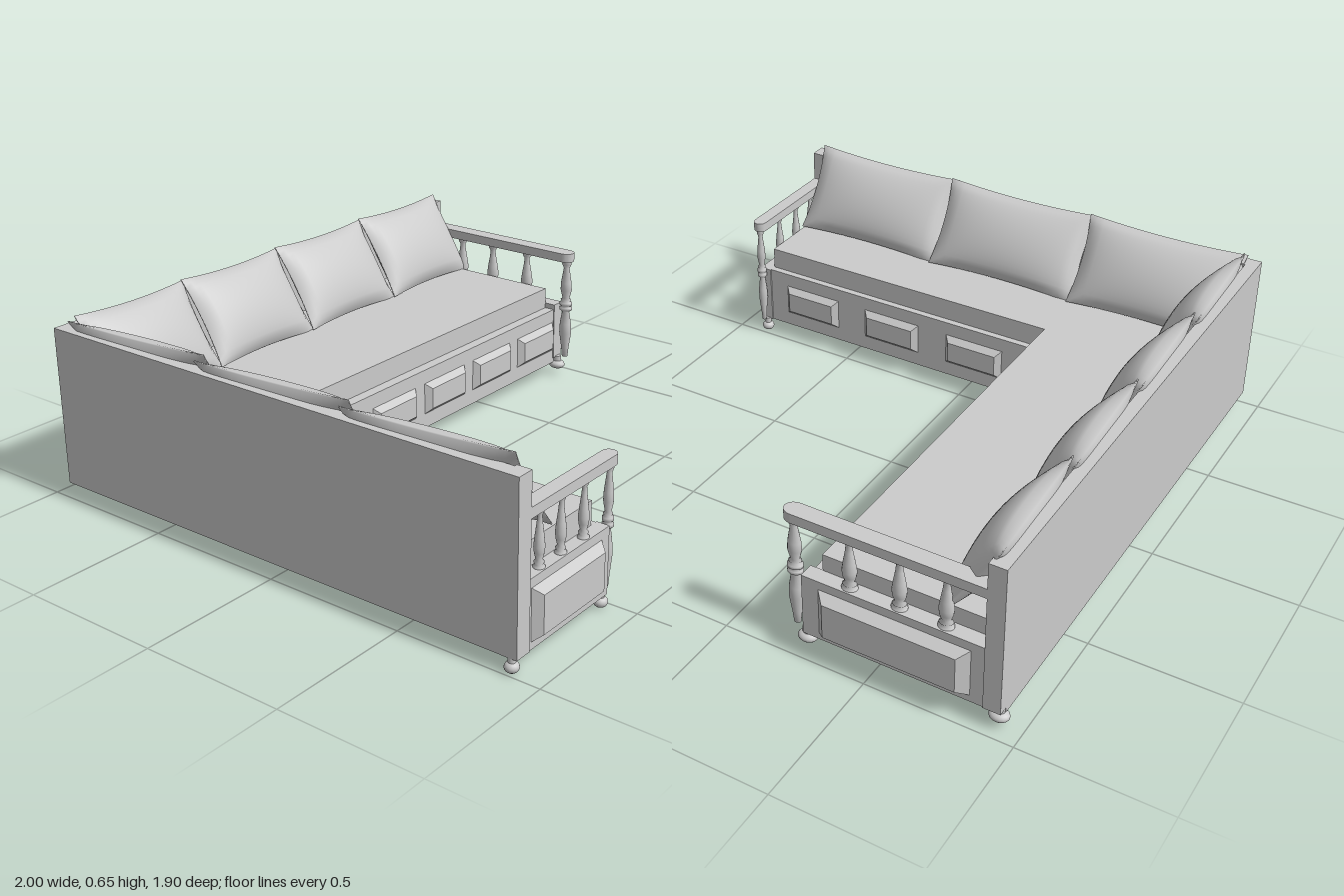
import * as THREE from 'three';
import { mergeVertices } from 'three/addons/utils/BufferGeometryUtils.js';

const mat = new THREE.MeshStandardMaterial({ color: 0xcccccc, side: THREE.DoubleSide });

function add(parent, name, geo, x = 0, y = 0, z = 0) {
  const m = new THREE.Mesh(geo, mat);
  m.name = name;
  m.position.set(x, y, z);
  parent.add(m);
  return m;
}

// Horizontal L or strip outline in (x, z), raised from y0 to y1
function slab(parent, name, pts, y0, y1) {
  const shape = new THREE.Shape(pts.map(([x, z]) => new THREE.Vector2(x, -z)));
  const geo = new THREE.ExtrudeGeometry(shape, { depth: y1 - y0, bevelEnabled: false });
  geo.rotateX(-Math.PI / 2);
  return add(parent, name, geo, 0, y0, 0);
}

// Raised panel with sloping borders, facing +z
function panelGeo(w, h, d, inset) {
  const geo = new THREE.BoxGeometry(w, h, d).translate(0, 0, d / 2);
  const p = geo.attributes.position;
  for (let i = 0; i < p.count; i++) {
    if (p.getZ(i) < d / 2) continue;
    p.setX(i, p.getX(i) - Math.sign(p.getX(i)) * inset);
    p.setY(i, p.getY(i) - Math.sign(p.getY(i)) * inset);
  }
  geo.computeVertexNormals();
  return geo;
}

// Stuffed cushion: thin seam, full middle, pointed corners
function cushionGeo(w, h, t) {
  const geo = new THREE.BoxGeometry(w, h, 2, 20, 16, 1);
  const p = geo.attributes.position;
  for (let i = 0; i < p.count; i++) {
    const u = p.getX(i) / (w / 2), v = p.getY(i) / (h / 2);
    const a = Math.max(0, 1 - u * u), b = Math.max(0, 1 - v * v);
    p.setXYZ(i, p.getX(i) * (1 - 0.05 * b), p.getY(i) * (1 - 0.07 * a),
      Math.sign(p.getZ(i)) * t * (0.04 + 0.96 * Math.pow(a * b, 0.55)));
  }
  geo.deleteAttribute('normal');
  geo.deleteAttribute('uv');
  const out = mergeVertices(geo, 1e-5);
  out.computeVertexNormals();
  return out;
}

const lathe = (pts) => new THREE.LatheGeometry(pts.map(([r, y]) => new THREE.Vector2(r, y)), 16);

// Arm: runs along +x from the back post, its panel on the given side of z
function makeArm(name, side, postTop) {
  const arm = new THREE.Group();
  arm.name = name;
  add(arm, 'backPost', new THREE.BoxGeometry(0.06 - 0.02 * (side < 0), postTop - 0.05, 0.05),
    0.03 - 0.01 * (side < 0), (postTop + 0.05) / 2, 0);
  add(arm, 'armBoard', new THREE.BoxGeometry(0.42, 0.225, 0.044), 0.25, 0.1625, 0);
  const panel = add(arm, 'armPanel', panelGeo(0.35, 0.17, 0.028, 0.022), 0.245, 0.16, side * 0.022);
  if (side < 0) panel.rotation.y = Math.PI;

  // Rail with a rounded front end
  const rail = new THREE.Shape();
  rail.moveTo(0.03, -0.025);
  rail.lineTo(0.48, -0.025);
  rail.absarc(0.48, 0, 0.025, -Math.PI / 2, Math.PI / 2, false);
  rail.lineTo(0.03, 0.025);
  const railGeo = new THREE.ExtrudeGeometry(rail, { depth: 0.034, bevelEnabled: false, curveSegments: 10 });
  railGeo.rotateX(-Math.PI / 2);
  add(arm, 'armRail', railGeo, 0, 0.46, 0);

  // Turned balusters
  const spindle = lathe([[0.018, 0.27], [0.018, 0.28], [0.012, 0.285], [0.016, 0.292], [0.01, 0.3],
    [0.015, 0.32], [0.017, 0.34], [0.014, 0.37], [0.009, 0.41], [0.007, 0.435], [0.012, 0.445], [0.012, 0.462]]);
  for (const x of [0.135, 0.24, 0.355]) add(arm, 'baluster', spindle, x);

  // Turned front post with rings at mid height
  add(arm, 'frontPost', lathe([[0, 0.06], [0.008, 0.06], [0.011, 0.1], [0.017, 0.16], [0.016, 0.2], [0.01, 0.25],
    [0.018, 0.258], [0.018, 0.268], [0.012, 0.272], [0.018, 0.278], [0.018, 0.288], [0.012, 0.293],
    [0.015, 0.3], [0.01, 0.306], [0.016, 0.34], [0.015, 0.37], [0.008, 0.43], [0.013, 0.445], [0.013, 0.462]]), 0.485);

  // Bun feet
  const bun = new THREE.SphereGeometry(0.023, 16, 10).scale(1, 0.8, 1);
  for (const x of [0.012, 0.46]) {
    add(arm, 'foot', bun, x, 0.0185, 0);
    add(arm, 'footNeck', new THREE.CylinderGeometry(0.012, 0.012, 0.025, 12), x, 0.0425, 0);
  }
  return arm;
}

export function createModel() {
  const sofa = new THREE.Group();
  sofa.name = 'cornerSofa';

  // L-shaped base, seat and backrest wall
  slab(sofa, 'base', [[-0.985, -0.935], [0.92, -0.935], [0.92, -0.27], [-0.535, -0.27], [-0.535, 0.87], [-0.985, 0.87]], 0.05, 0.275);
  slab(sofa, 'seat', [[-0.95, -0.9], [0.915, -0.9], [0.915, -0.31], [-0.56, -0.31], [-0.56, 0.868], [-0.95, 0.868]], 0.275, 0.355);
  slab(sofa, 'backrest', [[-0.99, -0.94], [0.935, -0.94], [0.935, -0.895], [-0.94, -0.895], [-0.94, 0.875], [-0.99, 0.875]], 0.05, 0.605);

  // Raised panels along the inner faces
  const panel = panelGeo(0.235, 0.118, 0.022, 0.02);
  for (let i = 0; i < 5; i++) add(sofa, 'basePanel', panel, -0.365 + i * 0.288, 0.164, -0.27);
  for (let i = 0; i < 3; i++) add(sofa, 'basePanel', panel, -0.535, 0.164, -0.038 + i * 0.356).rotation.y = Math.PI / 2;

  // Arms at both ends of the L; the right-hand one is longer
  const frontArm = makeArm('frontArm', 1, 0.605);
  frontArm.position.set(-0.99, 0, 0.89);
  const sideArm = makeArm('sideArm', -1, 0.585);
  sideArm.position.set(0.94, 0.02, -0.94);
  sideArm.rotation.y = -Math.PI / 2;
  sideArm.scale.set(1.465, 1, 1.2);
  sofa.add(frontArm, sideArm);

  // Leaning back cushions, each turned slightly in its row
  const lean = (geo, x, z, turn) => {
    const c = add(sofa, 'cushion', geo, x, 0.497, z);
    c.rotation.set(-0.56, turn + 0.055, -0.03, 'YXZ');
  };
  const backCushion = cushionGeo(0.49, 0.335, 0.062);
  for (let i = 0; i < 4; i++) lean(backCushion, -0.7 + i * 0.468, -0.808, 0);
  const sideCushion = cushionGeo(0.6, 0.335, 0.062);
  for (let i = 0; i < 3; i++) lean(sideCushion, -0.865, -0.595 + i * 0.582, Math.PI / 2);

  return sofa;
}
